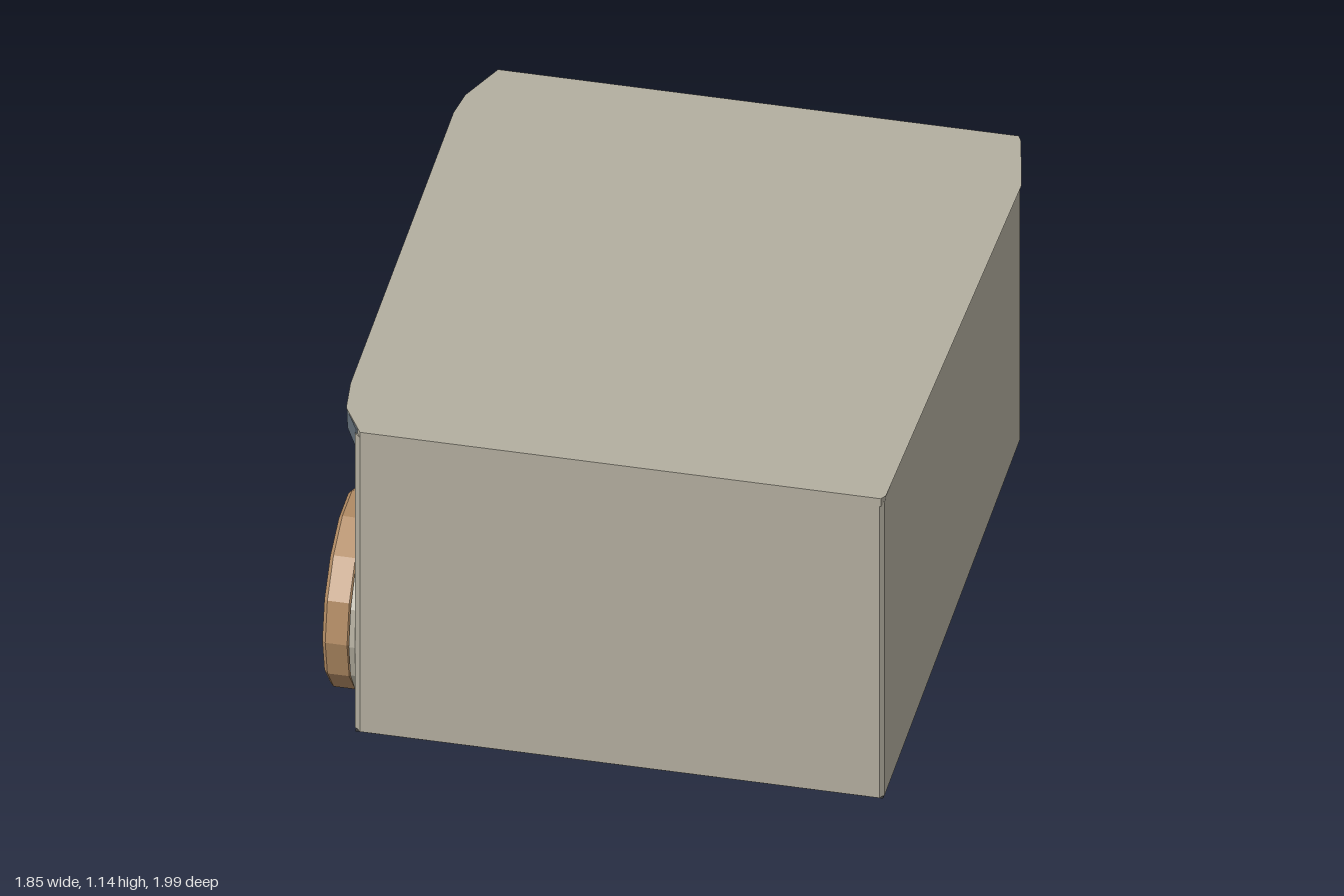
import * as THREE from 'three';

const mat = (color) => new THREE.MeshStandardMaterial({ color, flatShading: true, side: THREE.DoubleSide });
const PLASTER = mat(0xb3ae9f), SLATE = mat(0x66727c), WOOD = mat(0xb08a63), DARK = mat(0x4c4c4c), GREY = mat(0x8a8a86);

const makeShape = (pts) => new THREE.Shape(pts.map(([a, b]) => new THREE.Vector2(a, b)));

// Extrude an [x, z] outline upwards from y0
function plan(pts, y0, height, hole) {
  const flip = (list) => list.map(([x, z]) => [x, -z]);
  const shape = makeShape(flip(pts));
  if (hole) shape.holes.push(makeShape(flip(hole)));
  return new THREE.ExtrudeGeometry(shape, { depth: height, bevelEnabled: false })
    .rotateX(-Math.PI / 2).translate(0, y0, 0);
}

// Extrude a [z, y] outline towards -x, starting at x0
function sideways(shape, x0, depth, bevel = 0) {
  return new THREE.ExtrudeGeometry(shape, {
    depth: depth - 2 * bevel, bevelEnabled: bevel > 0, bevelSize: bevel,
    bevelThickness: bevel, bevelOffset: -bevel, bevelSegments: 1,
  }).rotateY(-Math.PI / 2).translate(x0 - bevel, 0, 0);
}

function polygon(radius, sides) {
  return Array.from({ length: sides }, (_, i) => {
    const a = (i / sides) * Math.PI * 2;
    return [Math.cos(a) * radius, Math.sin(a) * radius];
  });
}

function ring(outer, inner, sides) {
  const shape = makeShape(polygon(outer, sides));
  shape.holes.push(makeShape(polygon(inner, sides)));
  return shape;
}

// Move every vertex of a geometry by a rule
function warp(geometry, rule) {
  const p = geometry.attributes.position, v = new THREE.Vector3();
  for (let i = 0; i < p.count; i++) {
    rule(v.fromBufferAttribute(p, i));
    p.setXYZ(i, v.x, v.y, v.z);
  }
  geometry.computeVertexNormals();
  return geometry;
}

export function createModel() {
  const model = new THREE.Group();
  model.name = 'building';
  const add = (name, geometry, material, parent = model) => {
    const mesh = new THREE.Mesh(geometry, material);
    mesh.name = name;
    parent.add(mesh);
    return mesh;
  };

  // Thick front, left and back walls with chamfered corners
  add('outerWalls', plan([
    [-0.81, -0.97], [-0.79, -0.99], [0.855, -0.99], [0.868, -0.975],
    [0.868, 0.975], [0.855, 0.99], [-0.79, 0.99], [-0.81, 0.97],
    [-0.81, 0.87], [0.75, 0.87], [0.75, -0.87], [-0.81, -0.87],
  ], 0.004, 1.116), PLASTER);

  // Wall with the doorway
  add('doorWall', sideways(makeShape([
    [-0.87, 0.004], [-0.27, 0.004], [-0.27, 0.66], [-0.22, 0.715], [0.28, 0.715],
    [0.28, 0.004], [0.87, 0.004], [0.87, 1.12], [-0.87, 1.12],
  ]), -0.69, 0.12), PLASTER);
  add('doorPost', new THREE.BoxGeometry(0.11, 0.7, 0.06).translate(-0.775, 0.354, 0.26), PLASTER);

  // Roof sheet whose overhang slopes back to the walls underneath
  const roof = plan([
    [-0.79, -0.995], [-0.86, -0.84], [-0.875, -0.74], [-0.875, 0.74], [-0.86, 0.87], [-0.79, 0.99],
    [0.86, 0.99], [0.872, 0.97], [0.925, -0.74], [0.872, -0.97], [0.86, -0.995],
  ], 1.11, 0.03);
  add('roof', warp(roof, (v) => {
    if (v.y < 1.12) v.x = THREE.MathUtils.clamp(v.x, -0.81, 0.868);
  }), PLASTER);

  // Gutter below the eave, tapering into the wall at both ends
  const stations = [[-0.97, 0.1], [-0.84, 0.8], [-0.74, 1], [0.74, 1], [0.87, 0.8], [0.97, 0.1]];
  const gutter = new THREE.ExtrudeGeometry(makeShape([
    [-0.8, 1.0], [-0.84, 1.03], [-0.87, 1.065], [-0.873, 1.136], [-0.8, 1.136],
  ]), { depth: 5, steps: 5, bevelEnabled: false });
  add('gutter', warp(gutter, (v) => {
    const [z, reach] = stations[Math.round(v.z)];
    v.x = -0.8 + (v.x + 0.8) * reach;
    v.z = z;
  }), SLATE);

  // Base rim and floor with a narrow gap between them
  const rect = (x0, x1, z) => [[x0, -z], [x1, -z], [x1, z], [x0, z]];
  add('baseRim', plan(rect(-0.805, 0.866, 0.985), 0, 0.006, rect(-0.69, 0.75, 0.87)), DARK);
  add('floor', plan(rect(-0.682, 0.742, 0.862), 0.001, 0.008), DARK);
  add('floorPeg', new THREE.CylinderGeometry(0.05, 0.05, 0.03, 8).translate(-0.12, 0.016, 0.63), DARK);

  // Inner rails along the walls
  for (const z of [-0.84, 0.84]) {
    const rail = new THREE.CylinderGeometry(0.03, 0.03, 1.42, 8).rotateZ(Math.PI / 2);
    add('innerRail', rail.translate(0.03, 0.2, z), GREY);
  }

  // Spoked wheel leaning against the wall
  const wheel = new THREE.Group();
  wheel.name = 'wheel';
  wheel.position.set(0, 0.305, 0.645);
  model.add(wheel);
  const flatten = (g) => warp(g, (v) => { v.y = Math.max(v.y, -0.301); });
  add('wheelBacking', flatten(sideways(ring(0.325, 0.22, 16), -0.805, 0.025)), PLASTER, wheel);
  add('wheelPanel', sideways(makeShape(polygon(0.23, 16)), -0.805, 0.015), SLATE, wheel);
  add('wheelRim', flatten(sideways(ring(0.318, 0.215, 14), -0.825, 0.093, 0.012)), WOOD, wheel);
  add('wheelHub', sideways(makeShape(polygon(0.065, 8)), -0.82, 0.108, 0.02), WOOD, wheel);
  for (let i = 0; i < 6; i++) {
    const spoke = new THREE.BoxGeometry(0.04, 0.2, 0.035).translate(-0.88, 0.14, 0);
    add('wheelSpoke', spoke.rotateX((i / 6) * Math.PI * 2 + 0.2), WOOD, wheel);
  }
  return model;
}
